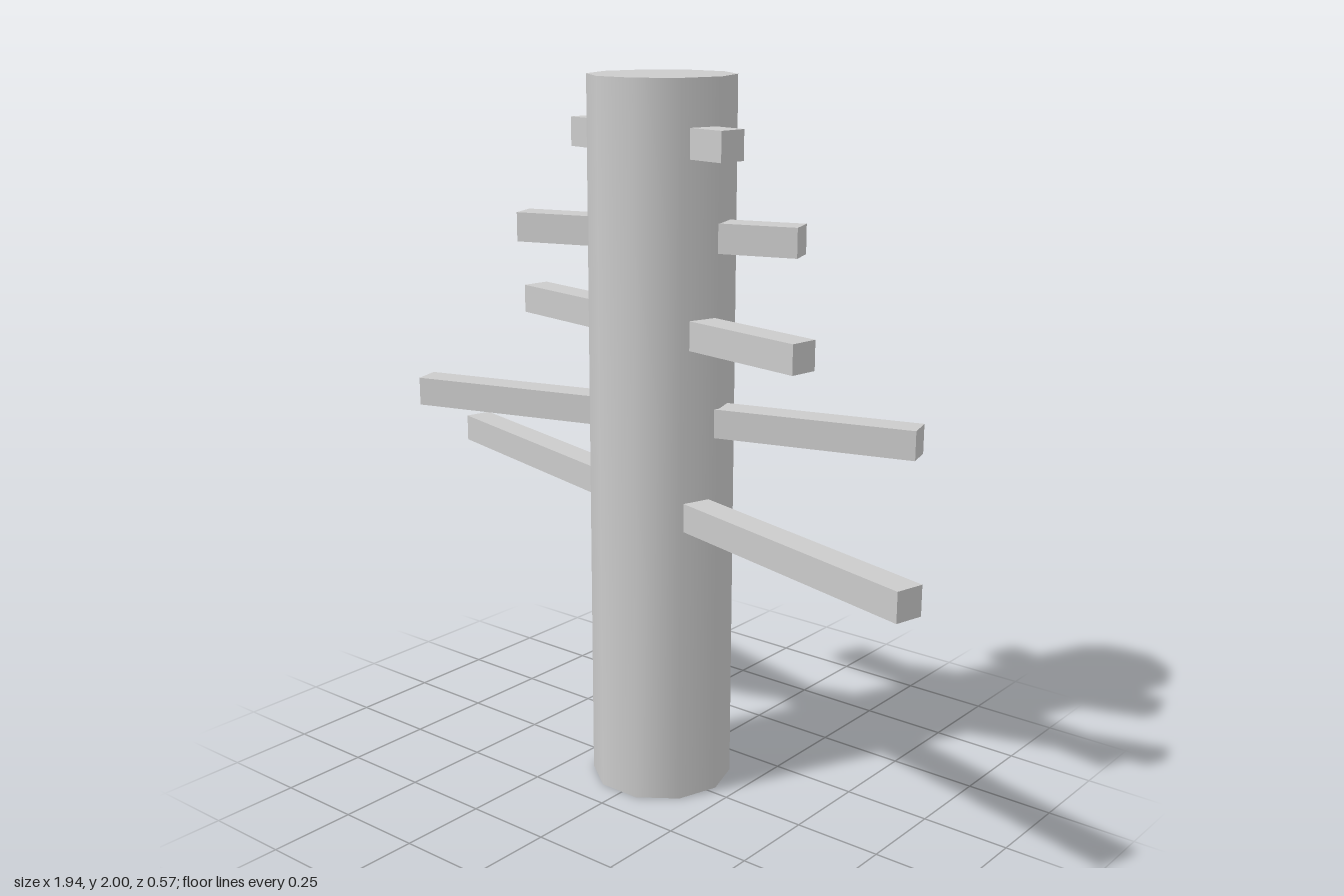
import * as THREE from 'three';

export function createModel() {
  const model = new THREE.Group();
  model.name = 'postWithCrossbars';
  const grey = new THREE.MeshStandardMaterial({ color: 0xcccccc, side: THREE.DoubleSide });

  // Ten-sided hollow trunk, open at the bottom, closed by a flat cap on top
  const radius = 0.2, height = 2, sides = 10;
  const trunk = new THREE.Group();
  trunk.name = 'trunk';
  trunk.position.set(-0.01, 0, -0.027);

  const wall = new THREE.Mesh(
    new THREE.CylinderGeometry(radius, radius, height, sides, 1, true).rotateY(Math.PI / 2), grey);
  wall.name = 'trunkWall';
  wall.position.y = height / 2;

  const cap = new THREE.Mesh(new THREE.CircleGeometry(radius, sides).rotateX(-Math.PI / 2), grey);
  cap.name = 'trunkCap';
  cap.position.y = height;
  trunk.add(wall, cap);
  model.add(trunk);

  // Square bars through the trunk: [height, length, turn in degrees, x offset]
  const bars = [
    [0.835, 1.985, -14.3, 0],
    [1.085, 1.475, 16, 0],
    [1.335, 1.09, -9, 0],
    [1.585, 0.8, 18, 0],
    [1.835, 0.595, -8.6, -0.015],
  ];
  bars.forEach(([y, length, turn, x], i) => {
    const bar = new THREE.Mesh(new THREE.BoxGeometry(length, 0.08, 0.08), grey);
    bar.name = `crossbar${i + 1}`;
    bar.position.set(x, y, 0);
    bar.rotation.y = THREE.MathUtils.degToRad(turn);
    model.add(bar);
  });

  return model;
}
